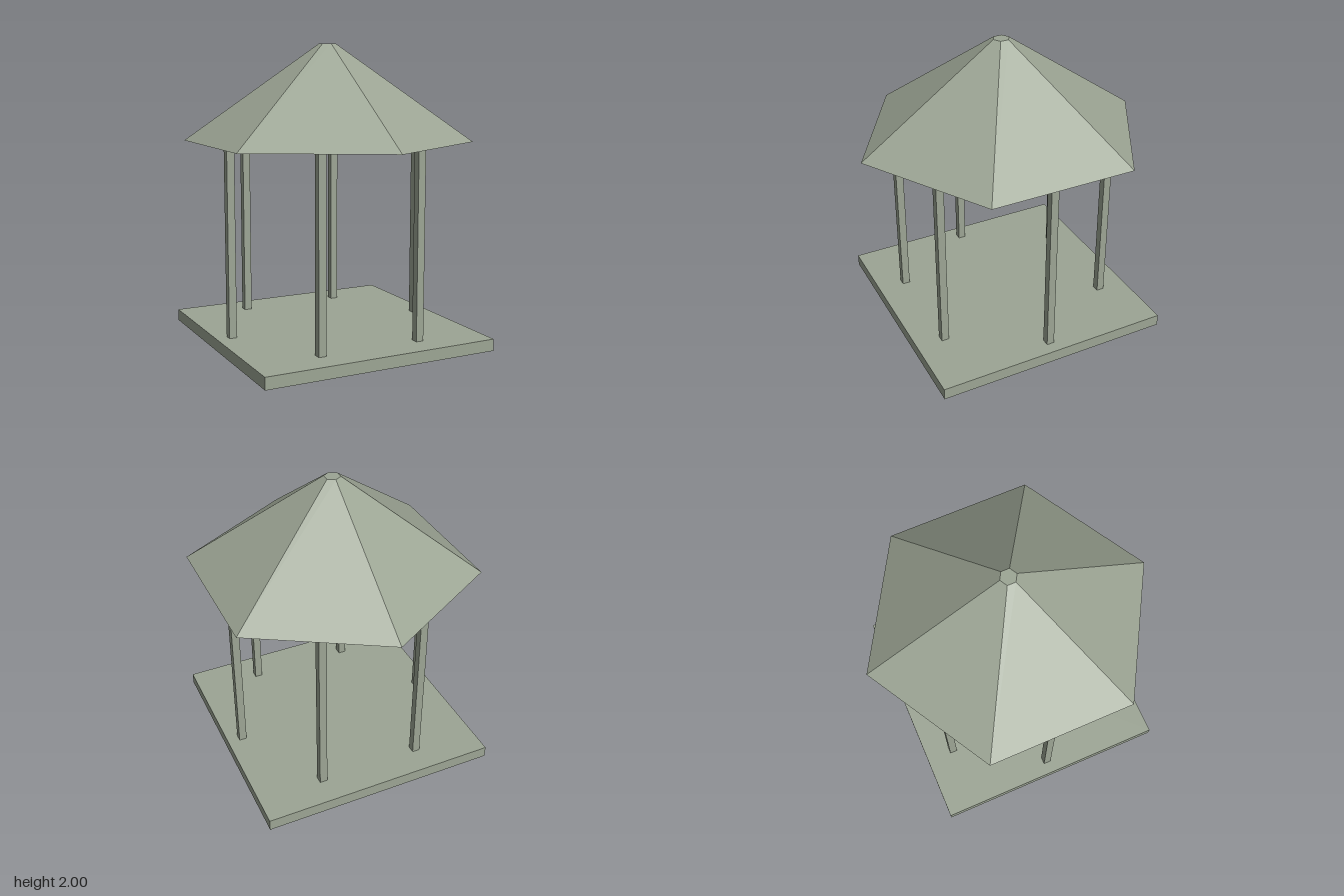
import * as THREE from 'three';

const BASE_HEIGHT = 0.08;
const EAVE_HEIGHT = 1.35;
const ROOF_TOP = 2;
const SIDES = 6;

export function createModel() {
  const group = new THREE.Group();
  group.name = 'gazebo';
  const sage = new THREE.MeshStandardMaterial({ color: 0x9ca594 });
  sage.name = 'sage grey';

  const add = (name, geometry, x, y, z) => {
    const mesh = new THREE.Mesh(geometry, sage);
    mesh.name = name;
    mesh.position.set(x, y, z);
    group.add(mesh);
  };

  // Square floor slab
  add('floor', new THREE.BoxGeometry(1.626, BASE_HEIGHT, 1.626), 0, BASE_HEIGHT / 2, 0);

  // Six square posts in a ring, two of them on the x axis
  const postHeight = EAVE_HEIGHT - BASE_HEIGHT;
  const postGeometry = new THREE.BoxGeometry(0.052, postHeight, 0.052);
  for (let i = 0; i < SIDES; i++) {
    const angle = (i / SIDES) * Math.PI * 2;
    add(`post${i + 1}`, postGeometry,
      0.706 * Math.cos(angle), BASE_HEIGHT + postHeight / 2, 0.706 * Math.sin(angle));
  }

  // Six-sided roof with a small flat top, corners at front and back;
  // non-indexed so every face is flat
  const roofHeight = ROOF_TOP - EAVE_HEIGHT;
  const roof = new THREE.CylinderGeometry(0.055, 0.975, roofHeight, SIDES).toNonIndexed();
  roof.computeVertexNormals();
  add('roof', roof, 0, EAVE_HEIGHT + roofHeight / 2, 0);

  return group;
}
